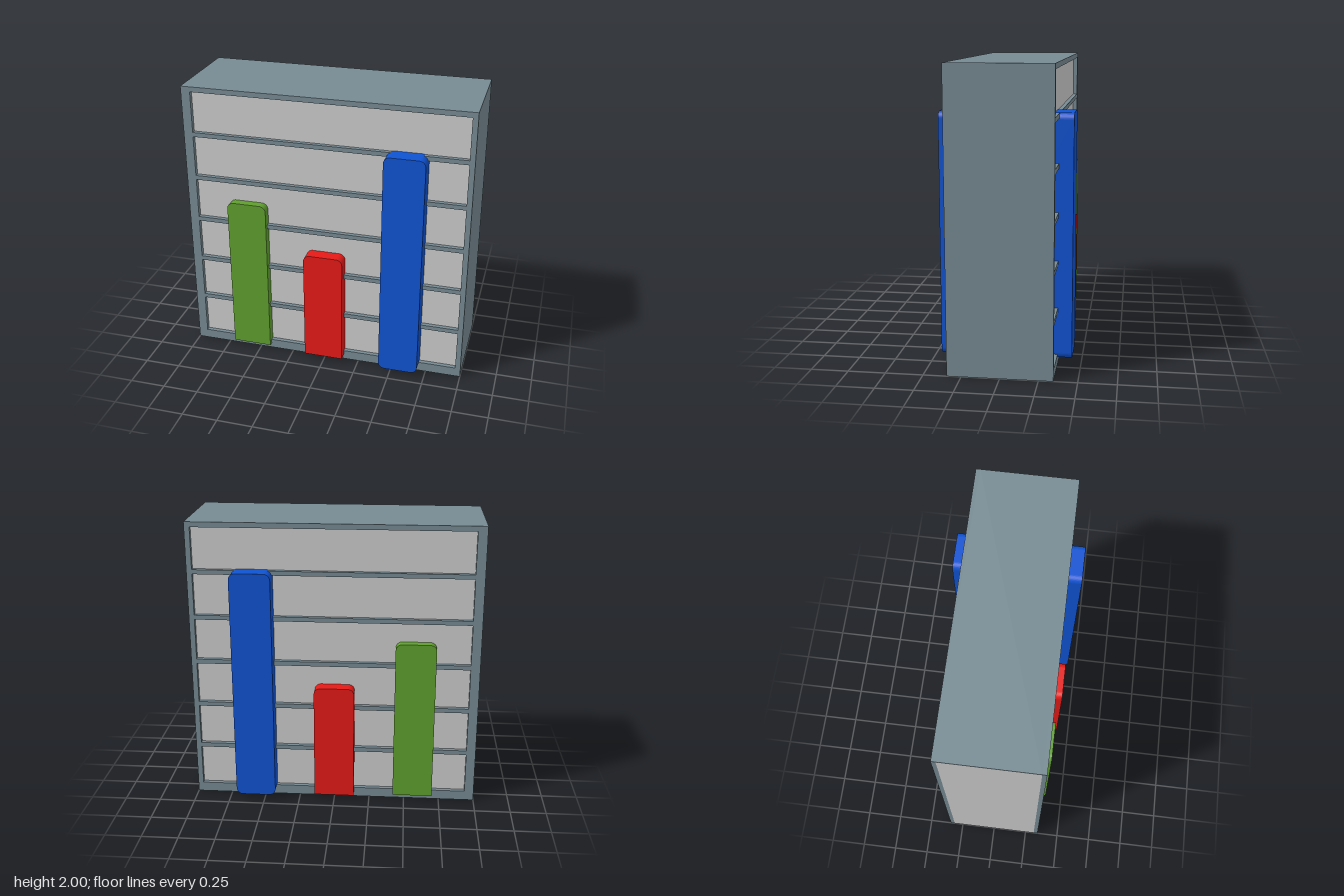
import * as THREE from 'three';

const W = 1, H = 2, D = 0.345;   // half width, height, half depth
const RIM = 0.03;                // depth of the front and back lattices

function mat(color) {
  return new THREE.MeshStandardMaterial({ color });
}

function add(group, name, geometry, material) {
  const mesh = new THREE.Mesh(geometry, material);
  mesh.name = name;
  group.add(mesh);
  return mesh;
}

// Box given by its minimum and maximum corners
function boxBetween(x0, x1, y0, y1, z0, z1) {
  return new THREE.BoxGeometry(x1 - x0, y1 - y0, z1 - z0)
    .translate((x0 + x1) / 2, (y0 + y1) / 2, (z0 + z1) / 2);
}

function rect(Type, x0, x1, y0, y1) {
  return new Type([[x0, y0], [x1, y0], [x1, y1], [x0, y1]].map(p => new THREE.Vector2(...p)));
}

// Frame with six stacked windows, leaving thin rails between them
function latticeGeometry() {
  const shape = rect(THREE.Shape, -W, W, 0, H);
  for (let i = 0; i < 6; i++) {
    const y = 0.068 + i * 0.3212;
    shape.holes.push(rect(THREE.Path, -0.935, 0.963, y, y + 0.29));
  }
  return new THREE.ExtrudeGeometry(shape, { depth: RIM, bevelEnabled: false });
}

// Chart bar with rounded top corners and optionally rounded bottom corners
function barGeometry(x, y0, y1, halfDepth, roundBottom) {
  const r = 0.045, h = 0.14;
  const s = new THREE.Shape();
  if (roundBottom) {
    s.absarc(x - h + r, y0 + r, r, Math.PI, 1.5 * Math.PI);
    s.absarc(x + h - r, y0 + r, r, 1.5 * Math.PI, 2 * Math.PI);
  } else {
    s.moveTo(x - h, y0);
    s.lineTo(x + h, y0);
  }
  s.absarc(x + h - r, y1 - r, r, 0, Math.PI / 2);
  s.absarc(x - h + r, y1 - r, r, Math.PI / 2, Math.PI);
  s.closePath();
  return new THREE.ExtrudeGeometry(s, { depth: 2 * halfDepth, bevelEnabled: false, curveSegments: 8 })
    .translate(0, 0, -halfDepth);
}

export function createModel() {
  const group = new THREE.Group();
  group.name = 'barChartBlock';
  const slate = mat(0x768a92), grey = mat(0xcccccc);
  const inner = D - RIM, skin = 0.005;

  // Grey core: seen through the windows and on the uncovered side
  add(group, 'core', boxBetween(-W, 0.98, skin, H - skin, -inner, inner), grey);

  // Casing plates on top, bottom and the left side
  add(group, 'topPlate', boxBetween(-W, W, H - skin, H, -inner, inner), slate);
  add(group, 'bottomPlate', boxBetween(-W, W, 0, skin, -inner, inner), slate);
  add(group, 'sidePlate', boxBetween(0.98, W, skin, H - skin, -inner, inner), slate);

  // Window lattices on both faces
  const lattice = latticeGeometry();
  add(group, 'frontLattice', lattice, slate).position.z = inner;
  add(group, 'backLattice', lattice, slate).position.z = -D;

  // Bars pass through the block and stand proud on both faces
  const bars = [
    ['greenBar', -0.56, 1.185, 0.376, false, 0x5f9f2e],
    ['redBar', 0, 0.86, 0.408, false, 0xe51a17],
    ['blueBar', 0.56, 1.677, 0.44, true, 0x1053d2],
  ];
  for (const [name, x, top, halfDepth, roundBottom, color] of bars) {
    add(group, name, barGeometry(x, 0.037, top, halfDepth, roundBottom), mat(color));
  }
  return group;
}
